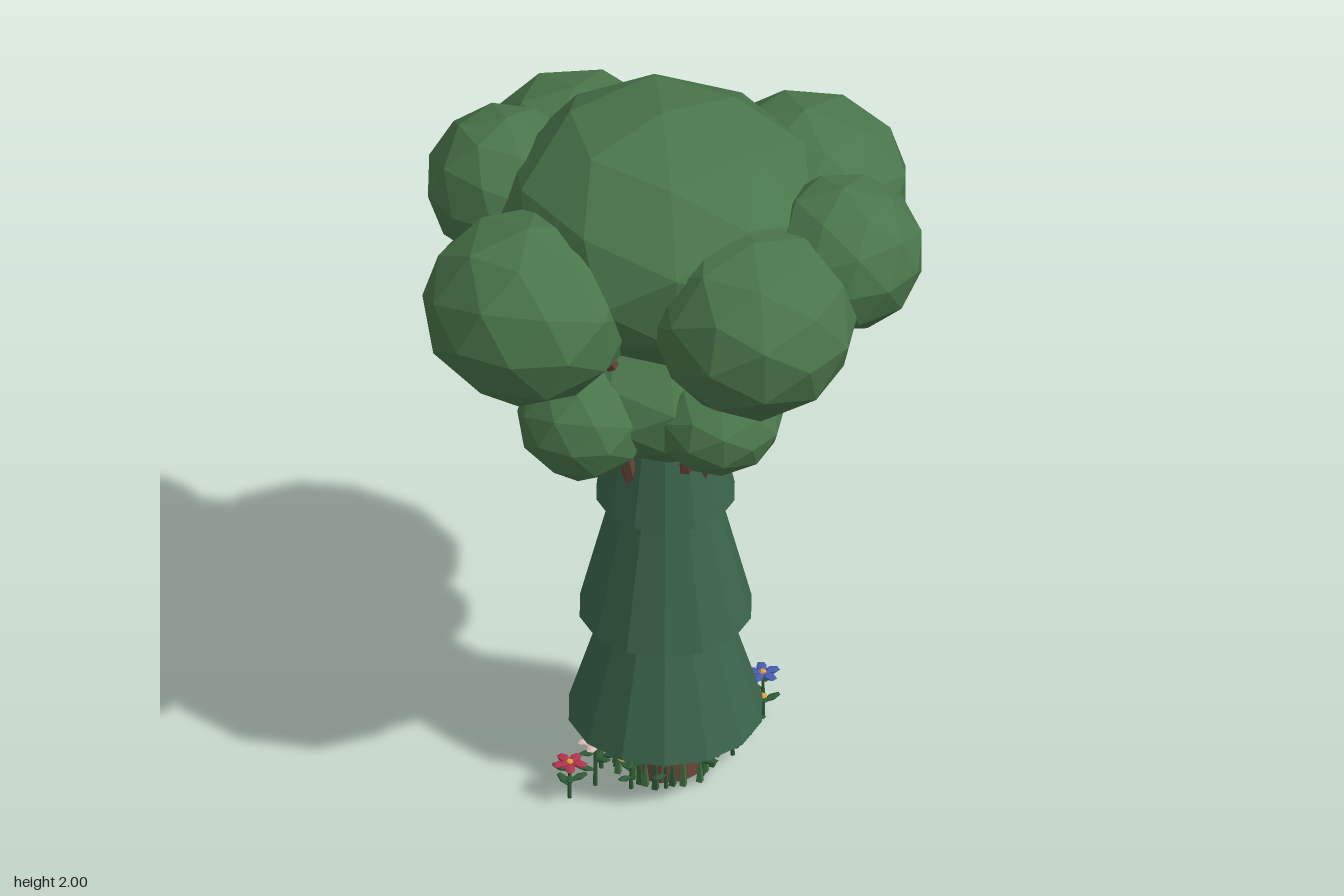
import * as THREE from 'three';

const paint = (name, color) => {
  const m = new THREE.MeshStandardMaterial({ color, flatShading: true });
  m.name = name;
  return m;
};

export function createModel() {
  const tree = new THREE.Group();
  tree.name = 'tree';

  const leafGreen = paint('leafGreen', 0x4a764b);
  const skirtGreen = paint('skirtGreen', 0x3b654c);
  const bark = paint('bark', 0x694539);
  const stemGreen = paint('stemGreen', 0x2f5a36);
  const grassGreen = paint('grassGreen', 0x3f7440);
  const red = paint('redPetal', 0xb0344f);
  const yellow = paint('yellowPetal', 0xe0a03c);
  const blue = paint('bluePetal', 0x465cae);
  const pale = paint('palePetal', 0xd8bcb8);

  const add = (parent, name, geometry, material, x = 0, y = 0, z = 0) => {
    const mesh = new THREE.Mesh(geometry, material);
    mesh.name = name;
    mesh.position.set(x, y, z);
    parent.add(mesh);
    return mesh;
  };

  // Trunk, hidden inside the skirts above its foot
  add(tree, 'trunk', new THREE.CylinderGeometry(0.085, 0.108, 1.2, 12), bark, 0, 0.6, 0);

  // Stacked conical skirts: bottom y, top y, bottom radius, top radius
  [[0.155, 0.56, 0.248, 0.125], [0.472, 0.9, 0.22, 0.115], [0.83, 1.12, 0.177, 0.112]]
    .forEach(([y0, y1, r0, r1]) => {
      add(tree, 'skirt', new THREE.CylinderGeometry(r1, r0, y1 - y0, 14), skirtGreen, 0.003, (y0 + y1) / 2, 0);
    });

  // Faceted foliage clumps: x, y, z, radius, half height
  const blob = new THREE.IcosahedronGeometry(1, 1);
  const clumps = (name, list) => {
    const group = new THREE.Group();
    group.name = name;
    list.forEach(([x, y, z, r, h], i) => {
      const m = add(group, 'clump', blob, leafGreen, x, y, z);
      m.scale.set(r, h, r);
      m.rotation.y = i * 1.3 + 0.2;
    });
    tree.add(group);
    return list;
  };

  const upper = clumps('upperCrown', [
    [0, 1.665, -0.01, 0.425, 0.335],
    [0.415, 1.6, -0.06, 0.27, 0.245],
    [-0.06, 1.6, -0.395, 0.258, 0.24],
    [-0.415, 1.59, 0.085, 0.27, 0.245],
    [0.063, 1.6, 0.395, 0.26, 0.245],
    [-0.29, 1.67, -0.315, 0.205, 0.2],
    [0.35, 1.67, 0.31, 0.205, 0.2],
  ]);
  const lower = clumps('lowerCrown', [
    [0, 1.2, 0, 0.29, 0.195],
    [0.23, 1.185, -0.07, 0.177, 0.16],
    [-0.085, 1.19, -0.225, 0.168, 0.155],
    [-0.25, 1.175, 0.06, 0.17, 0.155],
    [0.04, 1.195, 0.225, 0.166, 0.135],
  ]);

  // Paired branches spreading out into each outer clump
  const up = new THREE.Vector3(0, 1, 0);
  const branches = (list, y, start) => list.slice(1).forEach(([cx, cy, cz]) => {
    const angle = Math.atan2(cz, cx);
    const reach = Math.hypot(cx, cz) * 0.75;
    for (const s of [-0.2, 0.2]) {
      const c = Math.cos(angle + s);
      const t = Math.sin(angle + s);
      const a = new THREE.Vector3(c * start, y + s * 0.1, t * start);
      const d = new THREE.Vector3(c * reach, cy, t * reach).sub(a);
      const branch = add(tree, 'branch', new THREE.CylinderGeometry(0.015, 0.02, d.length(), 6), bark);
      branch.position.copy(a).addScaledVector(d, 0.5);
      branch.quaternion.setFromUnitVectors(up, d.normalize());
    }
  });
  branches(lower, 0.965, 0.13);
  branches(upper.slice(0, 5), 1.31, 0.18);

  // Flowers: stem, broad leaves and five flat petals around a centre
  const lobe = new THREE.IcosahedronGeometry(1, 0);
  const flower = (x, z, h, petal, turn) => {
    const g = new THREE.Group();
    g.name = 'flower';
    g.position.set(x, 0, z);
    g.rotation.y = turn;
    add(g, 'stem', new THREE.CylinderGeometry(0.004, 0.006, h, 5), stemGreen, 0, h / 2, 0);
    for (let i = 0; i < 4; i++) {
      const a = i * 1.9;
      const leaf = add(g, 'leaf', lobe, stemGreen, Math.cos(a) * 0.025, h * (0.4 + i * 0.14), Math.sin(a) * 0.025);
      leaf.scale.set(0.025, 0.006, 0.012);
      leaf.rotation.set(0, -a, 0.25);
    }
    for (let i = 0; i < 5; i++) {
      const a = i * Math.PI * 0.4;
      const p = add(g, 'petal', lobe, petal, Math.cos(a) * 0.025, h, Math.sin(a) * 0.025);
      p.scale.set(0.022, 0.006, 0.015);
      p.rotation.y = -a;
    }
    add(g, 'flowerCentre', lobe, petal === yellow ? red : yellow, 0, h + 0.003, 0).scale.set(0.01, 0.007, 0.01);
    tree.add(g);
  };
  [
    [0.295, -0.05, 0.14, blue], [0.235, 0.0, 0.118, yellow], [-0.285, 0.05, 0.108, red],
    [-0.205, 0.03, 0.132, pale], [-0.13, 0.08, 0.11, yellow], [0.16, 0.06, 0.12, pale],
    [0.05, 0.11, 0.138, red], [-0.05, -0.13, 0.13, blue], [0.08, -0.16, 0.11, yellow],
    [-0.12, -0.1, 0.12, red], [0.15, -0.1, 0.13, red], [-0.05, 0.115, 0.12, blue],
    [0.18, -0.04, 0.135, yellow], [-0.16, -0.03, 0.115, pale], [0.02, -0.17, 0.135, red],
  ].forEach(([x, z, h, c], i) => flower(x, z, h, c, i * 0.9));

  // Grass blades crowding the foot of the trunk
  for (let i = 0; i < 26; i++) {
    const a = i * 2.4;
    const r = 0.115 + (i % 3) * 0.008;
    const h = 0.07 + (i % 5) * 0.014;
    const material = i % 2 ? grassGreen : stemGreen;
    add(tree, 'grassBlade', new THREE.ConeGeometry(0.011, h, 4), material, Math.cos(a) * r, h / 2, Math.sin(a) * r);
  }

  return tree;
}
